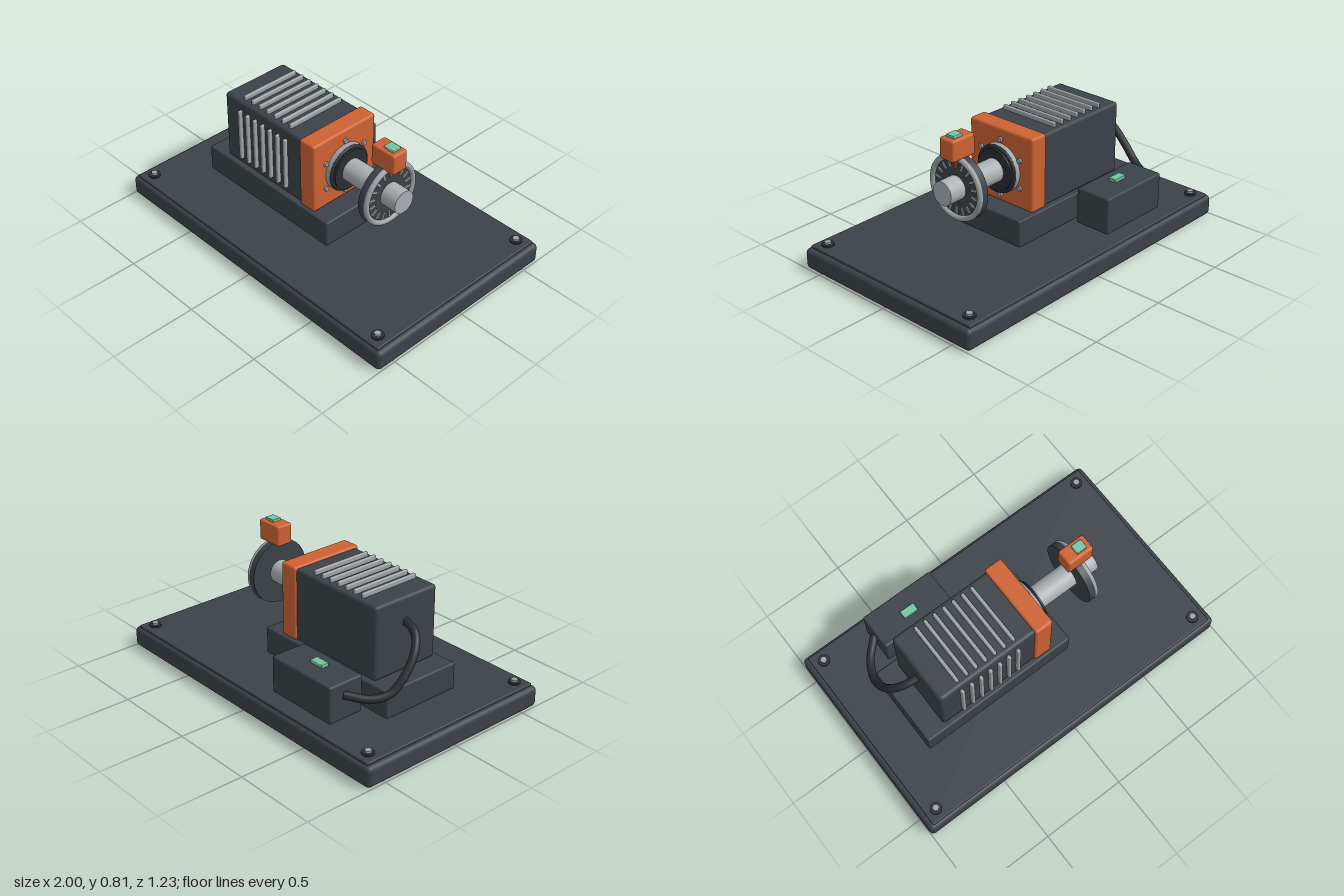
import * as THREE from 'three';
import { RoundedBoxGeometry } from 'three/addons/geometries/RoundedBoxGeometry.js';

const paint = (name, color) => {
  const m = new THREE.MeshStandardMaterial({ color });
  m.name = name;
  return m;
};

export function createModel() {
  const dark = paint('charcoal', 0x3b4248);
  const black = paint('black rubber', 0x2a2f33);
  const orange = paint('orange', 0xcf6233);
  const steel = paint('steel', 0x9ea4a7);
  const shaftSteel = paint('bright steel', 0xabb0b4);
  const green = paint('green light', 0x74c6a2);

  const root = new THREE.Group();
  root.name = 'motorTestStand';

  const add = (name, geometry, material, parent = root) => {
    const mesh = new THREE.Mesh(geometry, material);
    mesh.name = name;
    parent.add(mesh);
    return mesh;
  };
  // rounded box given by its limits on each axis
  const box = (name, [x0, x1], [y0, y1], [z0, z1], r, material, parent) => {
    const mesh = add(name, new RoundedBoxGeometry(x1 - x0, y1 - y0, z1 - z0, 3, r), material, parent);
    mesh.position.set((x0 + x1) / 2, (y0 + y1) / 2, (z0 + z1) / 2);
    return mesh;
  };
  // cylinder along x between two x positions, on the shaft axis
  const axisY = 0.493;
  const disc = (name, x0, x1, r, material, y = axisY, z = 0, sides = 48) => {
    const g = new THREE.CylinderGeometry(r, r, x1 - x0, sides).rotateZ(-Math.PI / 2);
    const mesh = add(name, g, material);
    mesh.position.set((x0 + x1) / 2, y, z);
    return mesh;
  };
  const ring = (name, x, r, tube, material) => {
    const mesh = add(name, new THREE.TorusGeometry(r, tube, 12, 64).rotateY(Math.PI / 2), material);
    mesh.position.set(x, axisY, 0);
    return mesh;
  };

  // base with raised top plate
  box('base', [-1, 1], [0, 0.122], [-0.615, 0.615], 0.028, dark);
  box('basePlate', [-0.97, 0.97], [0.1, 0.135], [-0.595, 0.595], 0.006, dark);

  // corner bolts with washers
  for (const x of [-0.905, 0.905]) for (const z of [-0.53, 0.53]) {
    const bolt = new THREE.Group();
    bolt.name = 'baseBolt';
    bolt.position.set(x, 0.135, z);
    add('washer', new THREE.CylinderGeometry(0.034, 0.034, 0.01, 24), black, bolt).position.y = 0.005;
    add('head', new THREE.CylinderGeometry(0.02, 0.02, 0.014, 6), steel, bolt).position.y = 0.015;
    root.add(bolt);
  }

  // pedestal, motor body and front flange
  box('pedestal', [-0.735, 0.235], [0.133, 0.29], [-0.245, 0.245], 0.01, dark);
  box('motorBody', [-0.61, 0.02], [0.285, 0.71], [-0.215, 0.215], 0.02, dark);
  box('motorFlange', [0.005, 0.117], [0.288, 0.721], [-0.228, 0.228], 0.015, orange);

  // cooling fins on the top and the front side
  for (let i = 0; i < 7; i++) {
    const x = -0.476 + i * 0.061;
    box('topFin', [x - 0.01, x + 0.01], [0.7, 0.736], [-0.187, 0.187], 0.007, steel);
    box('sideFin', [x - 0.01, x + 0.01], [0.333, 0.655], [0.2, 0.237], 0.007, steel);
  }

  // bearing seat, seal and bolts around the shaft
  disc('bearingSeat', 0.11, 0.147, 0.14, steel);
  disc('bearingSeal', 0.14, 0.17, 0.12, black);
  ring('bearingRing', 0.147, 0.127, 0.012, black);
  for (let i = 0; i < 6; i++) {
    const a = i * Math.PI / 3;
    disc('flangeBolt', 0.11, 0.13, 0.015, steel,
      axisY + 0.163 * Math.cos(a), 0.163 * Math.sin(a), 6);
  }
  disc('shaft', 0.12, 0.56, 0.068, shaftSteel);

  // encoder wheel with rim and index marks
  disc('encoderWheel', 0.41, 0.455, 0.187, dark, axisY, 0, 64);
  ring('encoderRim', 0.457, 0.173, 0.016, steel);
  const marks = 18;
  for (let i = 0; i < marks; i++) {
    const g = new THREE.BoxGeometry(0.008, 0.042, 0.014).translate(0, 0.132, 0);
    const mark = add('encoderMark', g, i === 0 ? orange : steel);
    mark.position.set(0.457, axisY, 0);
    mark.rotation.x = i * 2 * Math.PI / marks;
  }

  // sensor over the wheel
  box('sensor', [0.36, 0.525], [0.668, 0.79], [-0.05, 0.05], 0.013, orange);
  box('sensorLight', [0.43, 0.495], [0.785, 0.805], [-0.028, 0.028], 0.004, green);

  // control box and its light
  box('controlBox', [-0.615, -0.16], [0.155, 0.37], [-0.525, -0.305], 0.012, dark);
  box('controlLight', [-0.435, -0.345], [0.365, 0.388], [-0.421, -0.374], 0.004, green);

  // cable from the motor's rear to the control box
  const path = new THREE.CatmullRomCurve3([
    [-0.6, 0.568, 0], [-0.69, 0.545, -0.02], [-0.748, 0.48, -0.07], [-0.768, 0.38, -0.15],
    [-0.755, 0.295, -0.24], [-0.71, 0.275, -0.33], [-0.61, 0.297, -0.43],
  ].map((p) => new THREE.Vector3(...p)));
  add('cable', new THREE.TubeGeometry(path, 48, 0.023, 12), black);

  return root;
}
